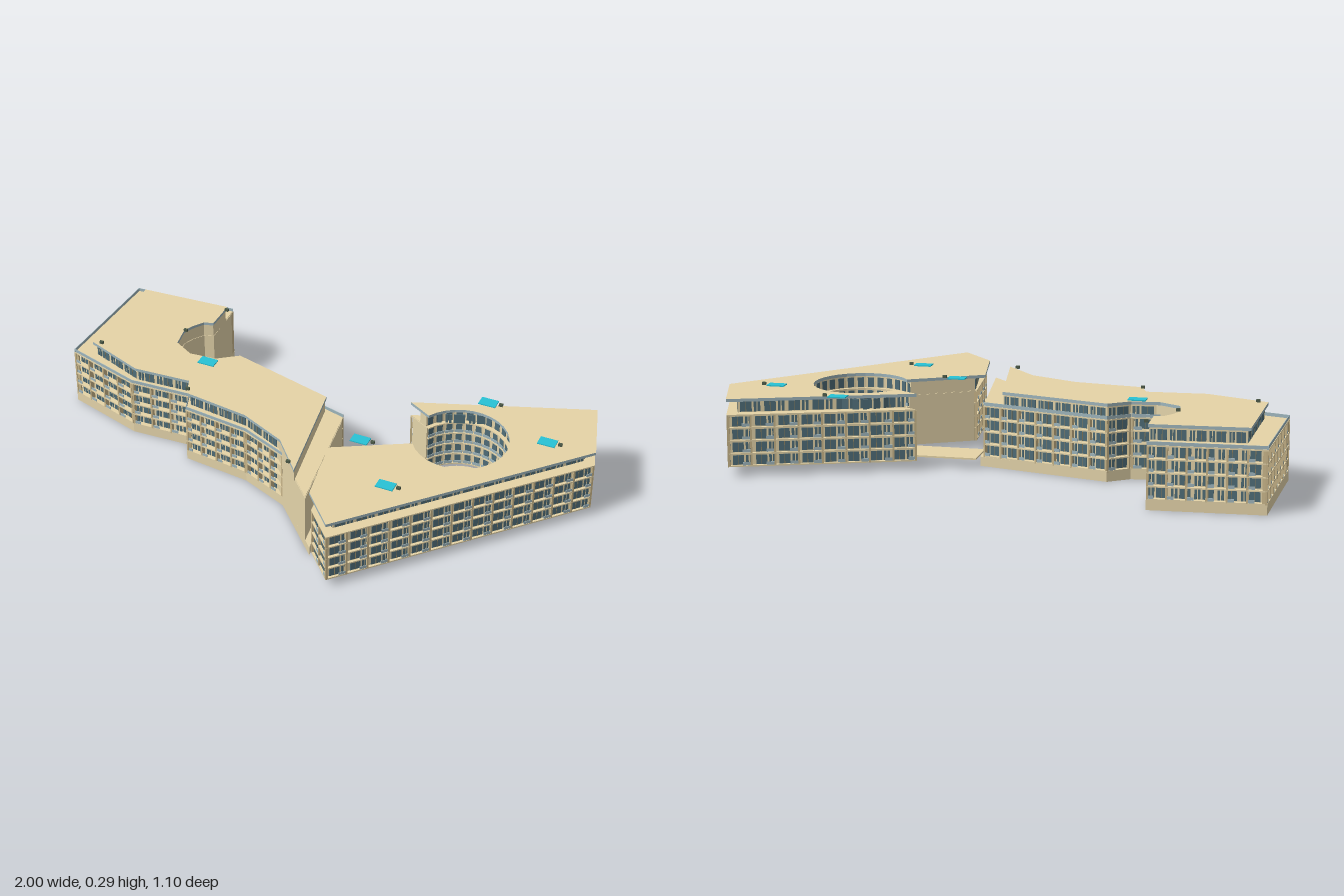
import * as THREE from 'three';
import { mergeGeometries } from 'three/addons/utils/BufferGeometryUtils.js';

const mat = (color) => new THREE.MeshStandardMaterial({ color });
const M = {
  wall: mat(0xe4d4aa), roof: mat(0xe6d4a6), pier: mat(0xc9b68a), glass: mat(0x4f6d78),
  rail: mat(0x9fb6bd), teal: mat(0x28c2d6), vent: mat(0x4c5a48), frame: mat(0x8f8463),
};
const BASE = 0.034, FLOOR = 0.0463, TERRACE = BASE + 4 * FLOOR, ROOF = 0.268;

// Plan outlines: [x, z, style of the edge that starts here]; 0 = blank wall, 1 = windows, 2 = curved windows
const arcPoints = (cx, cz, r, a0, a1, n, style) =>
  Array.from({ length: n + 1 }, (_, i) => {
    const a = a0 + (a1 - a0) * i / n;
    return [cx + r * Math.cos(a), cz + r * Math.sin(a), i < n ? style : 0];
  });

const eastOutline = (west) => [
  [0.30, 0.545, 1], [0.998, -0.20, 1], [0.925, -0.44, 1], [0.30, -0.21, 0],
  ...arcPoints(0.54, -0.08, 0.172, -2.65, 2.57, 26, 2), ...west,
];
const eastRoofPlan = eastOutline([[0.137, 0.155, 1], [0.18, 0.412, 1]]);
const eastPlan = eastOutline([[0.165, 0.138, 1], [0.195, 0.43, 1]]);
const notch = [
  [-0.57, -0.37, 0], [-0.605, -0.36, 0], [-0.632, -0.32, 0], [-0.648, -0.28, 0],
  [-0.635, -0.20, 0], [-0.56, -0.157, 1], [-0.46, -0.165, 1],
];
const westOutline = (tip) => [
  [-0.975, -0.53, 1], [-0.575, -0.55, 0], ...notch, [-0.385, -0.22, 1], ...tip,
  [-0.02, 0.20, 1], [-0.20, 0.125, 1], [-0.455, 0.095, 1],
  [-0.48, 0.02, 1], [-0.71, 0.03, 1], [-1.0, -0.06, 1],
];
const westPlan = westOutline([[0.085, -0.10, 0], [0.15, 0.38, 0]]);
const plinthPlan = westOutline([[0.095, -0.098, 0], [0.18, 0.412, 0]]);
const westRoofPlan = [
  [-0.91, -0.47, 1], [-0.57, -0.49, 0], ...notch, [-0.385, -0.22, 1], [0.01, -0.115, 0],
  [0.08, 0.32, 0], [-0.035, 0.185, 1], [-0.21, 0.105, 1], [-0.46, 0.07, 1],
  [-0.485, 0.0, 1], [-0.70, 0.012, 1], [-0.925, -0.075, 1],
];

const turn = (p) => Math.sign(p.reduce((sum, [x, z], i) => {
  const [u, w] = p[(i + 1) % p.length];
  return sum + x * w - u * z;
}, 0));

// Edges with direction, length and outward normal
function edgesOf(plan) {
  const s = turn(plan);
  return plan.map((a, i) => {
    const b = plan[(i + 1) % plan.length];
    const len = Math.hypot(b[0] - a[0], b[1] - a[1]);
    const d = [(b[0] - a[0]) / len, (b[1] - a[1]) / len];
    return { a, len, d, n: [s * d[1], -s * d[0]], style: a[2] };
  });
}

// Move every edge inward by the distance for its style
function inset(plan, dist) {
  const E = edgesOf(plan);
  return plan.map((p, i) => {
    const e = E[(i + E.length - 1) % E.length], f = E[i];
    const de = dist[e.style], df = dist[f.style];
    const det = e.n[0] * f.n[1] - e.n[1] * f.n[0];
    if (Math.abs(det) < 0.05) return [p[0] - f.n[0] * df, p[1] - f.n[1] * df, p[2]];
    return [p[0] + (-de * f.n[1] + df * e.n[1]) / det,
      p[1] + (-df * e.n[0] + de * f.n[0]) / det, p[2]];
  });
}

function prism(name, plan, y, h, top, side = top) {
  const shape = new THREE.Shape(plan.map(([x, z]) => new THREE.Vector2(x, -z)));
  const g = new THREE.ExtrudeGeometry(shape, { depth: h, bevelEnabled: false });
  g.rotateX(-Math.PI / 2).translate(0, y, 0);
  const mesh = new THREE.Mesh(g, top === side ? top : [top, side]);
  mesh.name = name;
  return mesh;
}

// Collects boxes standing along plan edges, one merged mesh per part
class Parts {
  constructor() { this.lists = {}; }
  add(key, e, u, y, w, h, depth, out) {
    const g = new THREE.BoxGeometry(w, h, depth);
    g.rotateY(Math.atan2(-e.d[1], e.d[0]));
    g.translate(e.a[0] + e.d[0] * u + e.n[0] * out, y + h / 2, e.a[1] + e.d[1] * u + e.n[1] * out);
    (this.lists[key] ??= []).push(g);
  }
  flush(group, mats) {
    for (const [key, list] of Object.entries(this.lists)) {
      const mesh = new THREE.Mesh(mergeGeometries(list), mats[key]);
      mesh.name = key;
      group.add(mesh);
    }
  }
}

// Windows of one storey: a wide pane and a narrow pair in each bay
function windowRow(parts, plan, y, h, pitch) {
  for (const e of edgesOf(plan)) {
    if (!e.style) continue;
    const bays = Math.max(1, Math.round(e.len / pitch)), w = e.len / bays;
    for (let i = 0; i < bays; i++) {
      const u = i * w;
      if (w < 0.055) {
        parts.add('windows', e, u + w / 2, y, w * 0.6, h, 0.004, 0);
        continue;
      }
      parts.add('windows', e, u + w * 0.34, y, w * 0.48, h, 0.004, 0);
      parts.add('mullions', e, u + w * 0.34, y, 0.002, h, 0.004, 0.0012);
      for (const k of [0.72, 0.88]) parts.add('windows', e, u + w * k, y, w * 0.11, h, 0.004, 0);
    }
  }
}

// Piers and balcony rails standing on the outer edge of the floors
function screen(parts, plan, pitch, depth, terraceRail) {
  for (const e of edgesOf(plan)) {
    if (!e.style) continue;
    const bays = Math.max(1, Math.round(e.len / pitch)), w = e.len / bays;
    for (let i = 0; i <= bays && e.style === 1; i++) {
      const u = Math.min(Math.max(i * w, 0.004), e.len - 0.004);
      parts.add('piers', e, u, BASE, 0.007, 4 * FLOOR, depth, -depth / 2);
    }
    const [wide, at] = w < 0.055 ? [w * 0.9, w * 0.5] : [w * 0.34, w * 0.8];
    for (let f = 0; f < 4; f++) for (let i = 0; i < bays; i++) {
      parts.add('balconyRails', e, i * w + at, BASE + f * FLOOR + 0.005, wide, 0.011, 0.002, -0.002);
    }
    if (terraceRail) parts.add('terraceRail', e, e.len / 2, TERRACE + 0.003, e.len, 0.012, 0.002, -0.003);
  }
}

function building(name, plan, roofPlan, { topInset, pitch, depth, terraceRail }) {
  const g = new THREE.Group();
  g.name = name;
  const parts = new Parts();
  const body = inset(plan, { 0: 0, 1: depth, 2: 0.008 });
  const top = inset(roofPlan, topInset);
  g.add(prism('body', body, BASE, 4 * FLOOR, M.wall));
  for (let f = 0; f <= 4; f++) {
    g.add(prism('floorSlab', inset(plan, { 0: 0.002, 1: 0, 2: 0 }), BASE + f * FLOOR - (f ? 0.002 : 0), 0.005, M.roof, M.wall));
  }
  g.add(prism('topFloor', top, TERRACE, ROOF - TERRACE, M.wall));
  g.add(prism('roof', roofPlan, ROOF, 0.011, M.roof, M.rail));
  for (let f = 0; f < 4; f++) windowRow(parts, body, BASE + f * FLOOR + 0.006, 0.034, pitch);
  windowRow(parts, top, TERRACE + 0.005, 0.036, pitch);
  screen(parts, plan, pitch, depth, terraceRail);
  parts.flush(g, { windows: M.glass, mullions: M.frame, piers: M.pier, balconyRails: M.rail, terraceRail: M.rail });
  return g;
}

function box(name, x, y, z, w, h, d, material) {
  const mesh = new THREE.Mesh(new THREE.BoxGeometry(w, h, d), material);
  mesh.position.set(x, y + h / 2, z);
  mesh.name = name;
  return mesh;
}

export function createModel() {
  const model = new THREE.Group();
  model.name = 'buildingComplex';

  // Two blocks, the west one on a plinth
  model.add(prism('plinth', plinthPlan, 0, BASE, M.wall));
  model.add(building('westBlock', westPlan, westRoofPlan,
    { topInset: { 0: 0.002, 1: 0.012, 2: 0.01 }, pitch: 0.07, depth: 0.018, terraceRail: true }));
  model.add(building('eastBlock', eastPlan, eastRoofPlan,
    { topInset: { 0: 0.002, 1: 0.038, 2: 0.015 }, pitch: 0.08, depth: 0.01, terraceRail: false }));

  // Round courtyard floor with its entrance walkway
  const half = Math.PI - 0.469;
  model.add(prism('courtyardFloor', [
    [0.10, -0.15, 0], ...arcPoints(0.545, -0.08, 0.155, -half, half, 40, 0), [0.10, -0.01, 0],
  ], BASE, 0.006, M.roof));

  // Roof panels, each with a small vent beside it
  const deck = ROOF + 0.011;
  for (const [x, z] of [[0.555, -0.32], [0.825, -0.185], [0.222, 0.07], [0.402, 0.27], [-0.476, -0.135]]) {
    model.add(box('roofPanel', x, deck, z, 0.064, 0.004, 0.042, M.teal));
    if (x > 0) model.add(box('roofVent', x + 0.047, deck, z, 0.014, 0.01, 0.009, M.vent));
  }
  for (const [x, z, y] of [[-0.89, -0.08, deck], [-0.56, -0.465, deck], [-0.64, -0.28, deck],
    [-0.465, 0.05, deck], [0.045, 0.29, deck], [0.57, -0.20, 0.04], [0.61, 0.01, 0.04]]) {
    model.add(box('vent', x, y, z, 0.014, 0.01, 0.009, M.vent));
  }
  return model;
}
